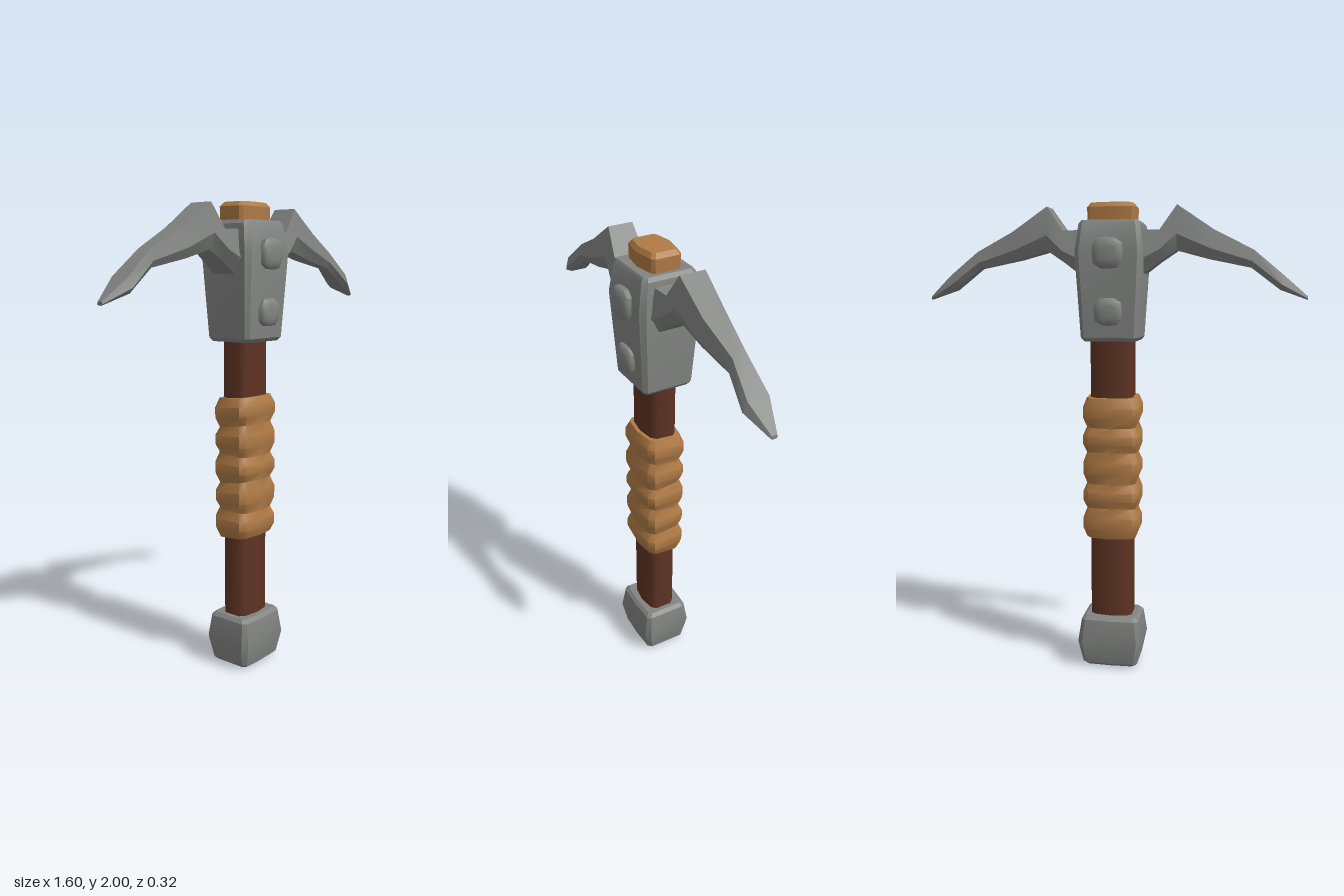
import * as THREE from 'three';
import { toCreasedNormals } from 'three/addons/utils/BufferGeometryUtils.js';

// Skin a list of rings (each counter-clockwise about the loft direction), closing both ends with fans.
function loft(rings, crease = 0.5, startTip = null, endTip = null) {
  const n = rings[0].length;
  const pos = rings.flat().flatMap(p => [p.x, p.y, p.z]);
  const index = [];
  for (let r = 0; r < rings.length - 1; r++) {
    for (let i = 0; i < n; i++) {
      const j = (i + 1) % n, a = r * n, b = a + n;
      index.push(a + i, a + j, b + j, a + i, b + j, b + i);
    }
  }
  const cap = (ring, base, flip, tip) => {
    const c = tip || ring.reduce((s, p) => s.add(p), new THREE.Vector3()).divideScalar(n);
    const k = pos.length / 3;
    pos.push(c.x, c.y, c.z);
    for (let i = 0; i < n; i++) {
      const j = (i + 1) % n;
      if (flip) index.push(k, base + j, base + i);
      else index.push(k, base + i, base + j);
    }
  };
  cap(rings[0], 0, true, startTip);
  cap(rings[rings.length - 1], (rings.length - 1) * n, false, endTip);
  const g = new THREE.BufferGeometry();
  g.setAttribute('position', new THREE.Float32BufferAttribute(pos, 3));
  g.setIndex(index);
  return toCreasedNormals(g, crease);
}

// Horizontal bevelled rectangle; the front and back bulge by b, and tilt slopes it along z.
function ringY(y, hx, hz, c, b = 0, tilt = 0) {
  const f = hz - b;
  return [
    [f, c - hx], [hz, 0], [f, hx - c], [f - c, hx], [c - f, hx],
    [-f, hx - c], [-hz, 0], [-f, c - hx], [c - f, -hx], [f - c, -hx],
  ].map(([z, x]) => new THREE.Vector3(x, y + tilt * z, z));
}

export function createModel() {
  const model = new THREE.Group();
  model.name = 'pickaxe';
  const material = (name, color) => {
    const m = new THREE.MeshStandardMaterial({ color });
    m.name = name;
    return m;
  };
  const steel = material('steel', 0x828482);
  const wood = material('darkWood', 0x5e3323);
  const leather = material('tanLeather', 0xb07b46);

  const add = (name, geometry, mat, parent = model) => {
    const mesh = new THREE.Mesh(geometry, mat);
    mesh.name = name;
    parent.add(mesh);
    return mesh;
  };

  // Handle shaft
  add('shaft', loft([0.15, 1.5].map(y => ringY(y, 0.09, 0.068, 0.02, 0.01)), 0.9), wood);

  // Tan plug rising out of the head
  add('topPlug', loft([
    ringY(1.85, 0.096, 0.073, 0.012, 0.014),
    ringY(1.975, 0.1, 0.076, 0.012, 0.014),
    ringY(1.993, 0.085, 0.064, 0.012, 0.012),
  ], 0.5, null, new THREE.Vector3(0, 2, 0)), leather);

  // Grip wrap: five bulging turns with slightly alternating slopes
  const grip = [];
  const turns = 5, low = 0.585, turn = 0.122;
  for (let i = 0; i < turns; i++) {
    const slope = k => (k === 0 || k === turns ? 0.07 : k % 2 ? -0.08 : 0.14);
    [[0, 0.105, 0.084], [0.32, 0.119, 0.098], [0.68, 0.119, 0.098], [1, 0.105, 0.084]].forEach(([t, hx, hz], s) => {
      if (s === 0 && i > 0) return;
      const tilt = THREE.MathUtils.lerp(slope(i), slope(i + 1), t);
      grip.push(ringY(low + (i + t) * turn, hx, hz, 0.022, 0.012, tilt));
    });
  }
  add('gripWrap', loft(grip, 0.75), leather);

  // Pommel
  add('pommel', loft([
    ringY(0.005, 0.105, 0.085, 0.012, 0.004),
    ringY(0.018, 0.12, 0.1, 0.016, 0.005),
    ringY(0.115, 0.14, 0.12, 0.02, 0.006),
    ringY(0.215, 0.125, 0.105, 0.016, 0.005),
    ringY(0.23, 0.11, 0.09, 0.012, 0.004),
  ], 0.5, new THREE.Vector3(0, 0, 0)), steel);

  // Head block
  add('headBlock', loft([
    ringY(1.43, 0.107, 0.097, 0.012),
    ringY(1.445, 0.12, 0.11, 0.016),
    ringY(1.79, 0.141, 0.132, 0.02),
    ringY(1.905, 0.127, 0.114, 0.018),
    ringY(1.92, 0.115, 0.103, 0.012),
  ]), steel);

  // Pick arms: [top x, top y, bottom x, bottom y, half depth]
  const sections = [
    [0.08, 1.885, 0.08, 1.665, 0.1],
    [0.2, 1.88, 0.2, 1.755, 0.085],
    [0.27, 1.98, 0.27, 1.8, 0.07],
    [0.42, 1.88, 0.4, 1.765, 0.063],
    [0.58, 1.8, 0.57, 1.73, 0.04],
    [0.7, 1.7, 0.69, 1.64, 0.058],
    [0.8, 1.614, 0.8, 1.6, 0.014],
  ];
  const armGeometry = loft(sections.map(([xt, yt, xb, yb, w]) =>
    [[0, -0.6], [0.35, -1], [1, -0.75], [1, 0.75], [0.35, 1], [0, 0.6]].map(([t, d]) =>
      new THREE.Vector3(xb + (xt - xb) * t, yb + (yt - yb) * t, d * w))), 0.45);
  add('leftPickArm', armGeometry, steel);
  add('rightPickArm', armGeometry, steel).rotation.y = Math.PI;

  // Rivets: rounded, slightly uneven domes on front and back
  const rivetRing = (r, z) => Array.from({ length: 12 }, (_, i) => {
    const a = (i / 12) * Math.PI * 2 + 0.1;
    const s = r * (1 + 0.07 * Math.cos(4 * (a - 0.75)));
    return new THREE.Vector3(s * Math.cos(a), s * Math.sin(a), z);
  });
  const rivetGeometry = loft([
    rivetRing(0.066, -0.03), rivetRing(0.067, 0.015), rivetRing(0.055, 0.027), rivetRing(0.03, 0.031),
  ], 0.8);
  for (const [side, turnY] of [['front', 0], ['back', Math.PI]]) {
    const rivets = new THREE.Group();
    rivets.name = side + 'Rivets';
    rivets.rotation.y = turnY;
    add(side + 'UpperRivet', rivetGeometry, steel, rivets).position.set(0, 1.787, 0.129);
    const lower = add(side + 'LowerRivet', rivetGeometry, steel, rivets);
    lower.position.set(0, 1.552, 0.118);
    lower.scale.set(0.92, 0.9, 0.95);
    model.add(rivets);
  }
  return model;
}
